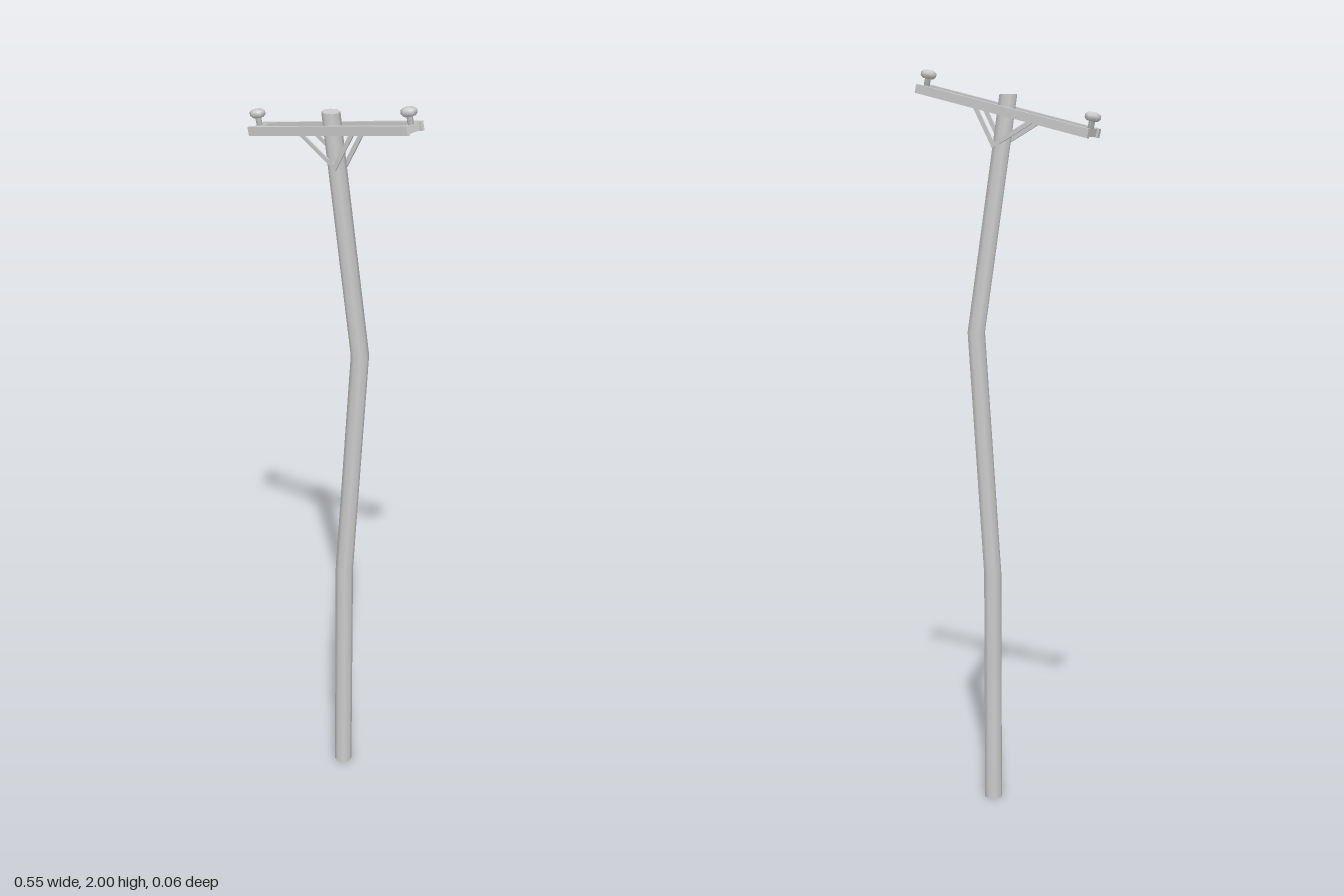
import * as THREE from 'three';

export function createModel() {
  const model = new THREE.Group();
  model.name = 'utilityPole';
  const mat = new THREE.MeshStandardMaterial({ color: 0xcccccc });

  const add = (parent, name, geometry, x = 0, y = 0, z = 0) => {
    const mesh = new THREE.Mesh(geometry, mat);
    mesh.name = name;
    mesh.position.set(x, y, z);
    parent.add(mesh);
    return mesh;
  };

  // Crooked post: an eight-sided cylinder whose level rings follow a bent path
  const path = [[0.046, 0], [0.048, 0.64], [0.1, 1.3], [-0.003, 1.933]];
  const post = new THREE.CylinderGeometry(0.024, 0.024, 3, 8, 3);
  const pos = post.attributes.position;
  for (let i = 0; i < pos.count; i++) {
    const [x, y] = path[Math.round(pos.getY(i) + 1.5)];
    pos.setXYZ(i, pos.getX(i) + x, y, pos.getZ(i));
  }
  add(model, 'post', post);

  // Tilted crossarm assembly
  const crossarm = new THREE.Group();
  crossarm.name = 'crossarm';
  crossarm.position.set(0.0045, 1.8905, 0);
  crossarm.rotation.z = 0.215;
  model.add(crossarm);
  for (const s of [1, -1]) {
    add(crossarm, s > 0 ? 'frontBeam' : 'backBeam',
      new THREE.BoxGeometry(0.55, 0.024, 0.01), 0, 0, s * 0.0265);
  }

  // End spacers between the beams, each carrying a six-sided insulator
  const profile = [[0, 0.005], [0.008, 0.005], [0.008, 0.035], [0.015, 0.036],
    [0.021, 0.044], [0.021, 0.055], [0.014, 0.062], [0, 0.063]]
    .map(([r, y]) => new THREE.Vector2(r, y * 0.82));
  for (const s of [1, -1]) {
    const side = s > 0 ? 'left' : 'right';
    add(crossarm, side + 'Spacer', new THREE.BoxGeometry(0.014, 0.02, 0.046), s * 0.262, 0, 0);
    add(crossarm, side + 'Insulator', new THREE.LatheGeometry(profile, 6), s * 0.262, 0.0005, 0);
  }

  // Flat diagonal straps from the post to the beams, front and back
  const strap = (name, x0, y0, x1, y1, z) => {
    const geometry = new THREE.BoxGeometry(Math.hypot(x1 - x0, y1 - y0), 0.012, 0.004);
    add(model, name, geometry, (x0 + x1) / 2, (y0 + y1) / 2, z)
      .rotation.z = Math.atan2(y1 - y0, x1 - x0);
  };
  for (const s of [1, -1]) {
    const face = s > 0 ? 'front' : 'back';
    strap(face + 'RightBrace', 0.036, 1.797, -0.098, 1.868, s * 0.0215);
    strap(face + 'LeftBrace', 0.028, 1.795, 0.092, 1.908, s * 0.0215);
  }
  return model;
}
